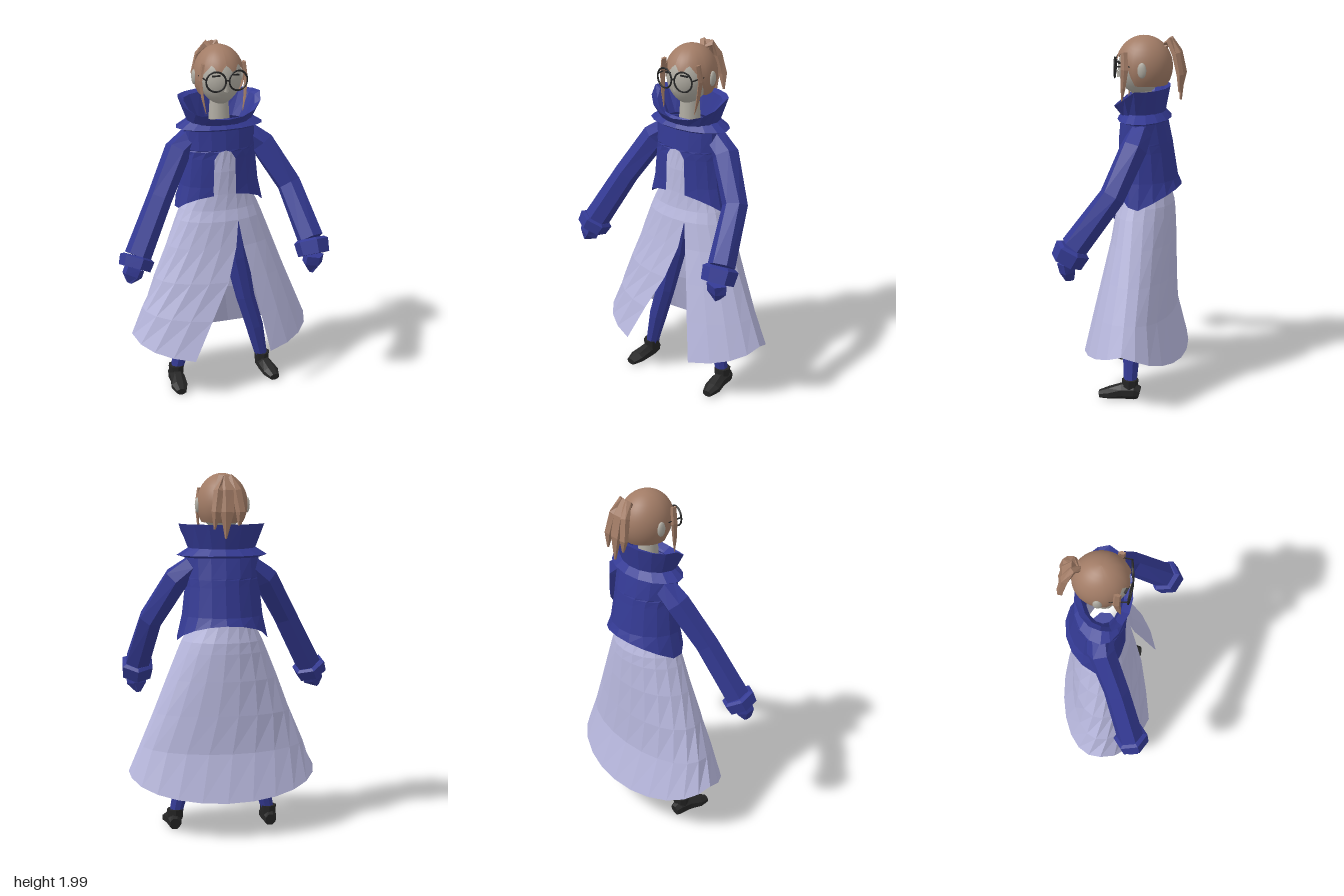
import * as THREE from 'three';

const CX = 0.04, CZ = -0.06;
const paint = (color, flatShading = true) =>
  new THREE.MeshStandardMaterial({ color, flatShading, side: THREE.DoubleSide });
const blue = paint(0x343a94), cloth = paint(0xb8b8de), black = paint(0x262626);
const hairMat = paint(0xa27c66, false), lockMat = paint(0xa27c66), skin = paint(0xb0aca2, false);
const V = (x, y, z) => new THREE.Vector3(x, y, z);

// Skin a grid of points, one array of points per row
function grid(rows) {
  const n = rows[0].length, pos = [], idx = [];
  rows.forEach(r => r.forEach(p => pos.push(p.x, p.y, p.z)));
  for (let i = 0; i < rows.length - 1; i++) for (let j = 0; j < n - 1; j++) {
    const a = i * n + j, c = a + n;
    idx.push(a, c, a + 1, a + 1, c, c + 1);
  }
  const g = new THREE.BufferGeometry();
  g.setAttribute('position', new THREE.Float32BufferAttribute(pos, 3));
  g.setIndex(idx);
  g.computeVertexNormals();
  return g;
}

// Garment wrapped round the body; row: y, half width, front z, back z,
// x of the two front edges, change of y at the front and at the back
function wrap(rows, n) {
  return grid(rows.map(([y, rx, zf, zb, xl = CX, xr = CX, df = 0, db = 0]) => {
    const a0 = Math.asin((xr - CX) / rx), a1 = 2 * Math.PI + Math.asin((xl - CX) / rx);
    return Array.from({ length: n + 1 }, (_, j) => {
      const a = a0 + (a1 - a0) * j / n, c = Math.cos(a);
      return V(CX + rx * Math.sin(a), y + (c > 0 ? df * c : -db * c),
        CZ + c * (c > 0 ? zf - CZ : CZ - zb));
    });
  }));
}

// Closed limb along a path; station: x, y, z, radius one way, radius the other
function limb(st, sides = 6, ref = V(0, 0, 1)) {
  const P = st.map(s => V(s[0], s[1], s[2]));
  const rows = st.map((s, i) => {
    const T = P[Math.min(i + 1, P.length - 1)].clone().sub(P[Math.max(i - 1, 0)]).normalize();
    const S = T.clone().cross(ref).normalize(), B = S.clone().cross(T);
    return Array.from({ length: sides + 1 }, (_, j) => {
      const f = (j + 0.5) / sides * 2 * Math.PI;
      return P[i].clone().addScaledVector(S, Math.cos(f) * s[3]).addScaledVector(B, Math.sin(f) * (s[4] ?? s[3]));
    });
  });
  const cap = p => Array.from({ length: sides + 1 }, () => p.clone());
  return grid([cap(P[0]), ...rows, cap(P[P.length - 1])]);
}

export function createModel() {
  const root = new THREE.Group();
  const add = (name, geo, mat, parent = root) => {
    const m = new THREE.Mesh(geo, mat);
    m.name = name;
    parent.add(m);
    return m;
  };

  // Dress with a flared, slit skirt
  add('dress', wrap([
    [1.46, 0.11, 0.03, -0.18, 0.11, 0.11],
    [1.30, 0.15, 0.04, -0.2, 0.11, 0.11],
    [1.17, 0.18, 0.045, -0.22, 0.11, 0.11],
    [1.08, 0.225, 0.055, -0.245, 0.11, 0.11],
    [1.02, 0.25, 0.075, -0.25, 0.11, 0.11],
    [0.87, 0.31, 0.1, -0.255, 0.09, 0.135],
    [0.68, 0.385, 0.145, -0.257, 0.03, 0.175],
    [0.50, 0.46, 0.195, -0.262, -0.08, 0.215, -0.03, -0.03],
    [0.35, 0.525, 0.25, -0.325, -0.19, 0.26, -0.11, -0.14],
  ], 20), cloth);

  // Cropped jacket, open below the chest
  add('jacket', wrap([
    [1.58, 0.16, 0.03, -0.18],
    [1.54, 0.205, 0.05, -0.205],
    [1.43, 0.205, 0.06, -0.23],
    [1.42, 0.205, 0.06, -0.232, 0.0, 0.07],
    [1.38, 0.207, 0.06, -0.238, -0.025, 0.095],
    [1.22, 0.225, 0.06, -0.265, -0.03, 0.1],
    [1.07, 0.255, 0.06, -0.285, -0.03, 0.1, 0.105, 0.11],
  ], 16), blue);
  add('shoulderFlap', wrap([
    [1.6, 0.17, 0.02, -0.18],
    [1.55, 0.25, 0.065, -0.225],
    [1.535, 0.2, 0.045, -0.2],
  ], 16), blue);
  add('collar', wrap([
    [1.57, 0.14, 0.02, -0.16],
    [1.70, 0.205, 0.05, -0.185, CX, CX, -0.11, 0.01],
    [1.72, 0.238, 0.085, -0.218, CX, CX, -0.11, 0],
    [1.57, 0.18, 0.05, -0.19],
  ], 16), blue);

  // Sleeves with turned cuffs and pointed hands
  const arms = {
    rightArm: [[-0.11, 1.49, -0.08], [-0.2, 1.42, -0.06], [-0.335, 1.19, 0.035], [-0.49, 0.9, 0.125], [-0.515, 0.84, 0.145], [-0.55, 0.765, 0.16]],
    leftArm: [[0.2, 1.49, -0.08], [0.29, 1.42, -0.06], [0.425, 1.19, 0.03], [0.485, 0.92, 0.225], [0.49, 0.84, 0.265], [0.48, 0.735, 0.25]],
  };
  for (const [name, [sh, up, el, wr, cu, ha]] of Object.entries(arms)) {
    const arm = new THREE.Group();
    arm.name = name;
    root.add(arm);
    add('sleeve', limb([[...sh, 0.065], [...up, 0.075], [...el, 0.07], [...wr, 0.075]]), blue, arm);
    add('cuff', limb([[...wr, 0.078], [...wr.map((v, i) => v + (cu[i] - v) * 0.15), 0.098],
      [...cu, 0.09], [...cu, 0.06]]), blue, arm);
    add('hand', limb([[...cu, 0.06, 0.05], [...cu.map((v, i) => v + (ha[i] - v) * 0.5), 0.06, 0.045],
      [...ha, 0.014, 0.025]], 5), blue, arm);
  }

  // Legs and boots
  for (const s of [-1, 1]) {
    const side = s < 0 ? 'right' : 'left', ax = s < 0 ? -0.228 : 0.305;
    add(side + 'Leg', limb([
      [CX + s * 0.08, 0.98, -0.08, 0.075], [CX + s * 0.105, 0.75, -0.06, 0.068],
      [CX + s * 0.155, 0.5, -0.045, 0.055], [CX + s * 0.215, 0.3, -0.045, 0.052],
      [ax, 0.08, -0.045, 0.035],
    ], 8), blue);
    const fx = ax + s * 0.006;
    add(side + 'Boot', limb([
      [fx, 0.04, -0.098, 0.036, 0.03], [fx, 0.047, -0.07, 0.047, 0.04],
      [fx, 0.045, 0, 0.045, 0.044], [fx + s * 0.01, 0.033, 0.07, 0.033, 0.049],
      [fx + s * 0.014, 0.023, 0.125, 0.021, 0.03],
    ], 8, V(1, 0, 0)), black);
    add(side + 'BootTop', new THREE.CylinderGeometry(0.047, 0.042, 0.06, 8), black)
      .position.set(ax, 0.085, -0.045);
  }

  // Neck and face, narrowing to the chin
  add('neck', new THREE.CylinderGeometry(0.05, 0.06, 0.16, 12), skin).position.set(CX, 1.65, -0.065);
  const face = new THREE.SphereGeometry(1, 24, 18), fp = face.attributes.position;
  for (let i = 0; i < fp.count; i++) {
    const y = fp.getY(i), low = Math.max(0, -y);
    fp.setXYZ(i, fp.getX(i) * 0.122 * (1 - 0.22 * low * low), y * 0.152,
      fp.getZ(i) * 0.13 * (1 - 0.1 * low) + 0.012 * low);
  }
  face.computeVertexNormals();
  add('face', face, skin).position.set(CX, 1.82, -0.062);
  const nose = add('nose', new THREE.ConeGeometry(0.014, 0.045, 4), skin);
  nose.position.set(CX, 1.785, 0.07);
  nose.rotation.x = 0.35;

  // Hair cap: short jagged fringe, long over the nape
  const N = 48, hairRows = [];
  for (let i = 0; i <= 12; i++) hairRows.push(Array.from({ length: N + 1 }, (_, j) => {
    const a = j / N * 2 * Math.PI, d = Math.min(a, 2 * Math.PI - a);
    const fringe = 1.22 + 0.14 * Math.sin(d * 10 - 1.6);
    const max = fringe + (2.2 - fringe) * THREE.MathUtils.smoothstep(d, 0.95, 1.35);
    const t = max * i / 12, r = Math.sin(t);
    return V(CX + 0.139 * r * Math.sin(a), 1.826 + 0.166 * Math.cos(t), -0.075 + 0.155 * r * Math.cos(a));
  }));
  add('hair', grid(hairRows), hairMat);

  // Ponytail strands
  const tail = new THREE.Group();
  tail.name = 'ponytail';
  root.add(tail);
  [[0, 0.03, 1.65, 0.04], [-1, 0.07, 1.72, 0.028], [1, 0.06, 1.7, 0.028]].forEach(([s, dx, y, w]) =>
    add('strand', limb([
      [CX, 1.93, -0.18, 0.02], [CX + s * 0.025, 1.965, -0.215, w * 0.9, 0.022],
      [CX + s * dx * 0.75, 1.9, -0.255, w, 0.024], [CX + s * dx, 1.79, -0.28, w, 0.02],
      [CX + s * dx + 0.01, y, -0.277, 0.006],
    ], 5), lockMat, tail));

  // Glasses, brows, ears and side locks
  const glasses = new THREE.Group();
  glasses.name = 'glasses';
  root.add(glasses);
  for (const s of [-1, 1]) {
    const rim = add('rim', new THREE.TorusGeometry(0.054, 0.005, 6, 28), black, glasses);
    rim.position.set(CX + s * 0.063, 1.823, 0.075);
    rim.rotation.y = s * 0.15;
    add('temple', limb([[CX + s * 0.117, 1.835, 0.068, 0.004], [CX + s * 0.132, 1.84, -0.08, 0.004]], 4, V(1, 0, 0)), black, glasses);
    const brow = add('eyelid', new THREE.BoxGeometry(0.045, 0.007, 0.012), black);
    brow.position.set(CX + s * 0.055, 1.85, 0.055);
    brow.rotation.set(0, s * 0.4, -s * 0.12);
    const ear = add('ear', new THREE.SphereGeometry(1, 10, 8), skin);
    ear.scale.set(0.014, 0.042, 0.025);
    ear.position.set(CX + s * 0.137, 1.82, -0.085);
    add('sideLock', limb([
      [CX + s * 0.115, 1.91, 0.015, 0.01, 0.02], [CX + s * 0.13, 1.82, 0.01, 0.009, 0.022],
      [CX + s * 0.12, 1.72, 0.02, 0.007, 0.014], [CX + s * 0.105, 1.64, 0.03, 0.002],
    ], 5), lockMat);
  }
  add('bridge', new THREE.BoxGeometry(0.022, 0.007, 0.007), black, glasses).position.set(CX, 1.828, 0.082);
  return root;
}
